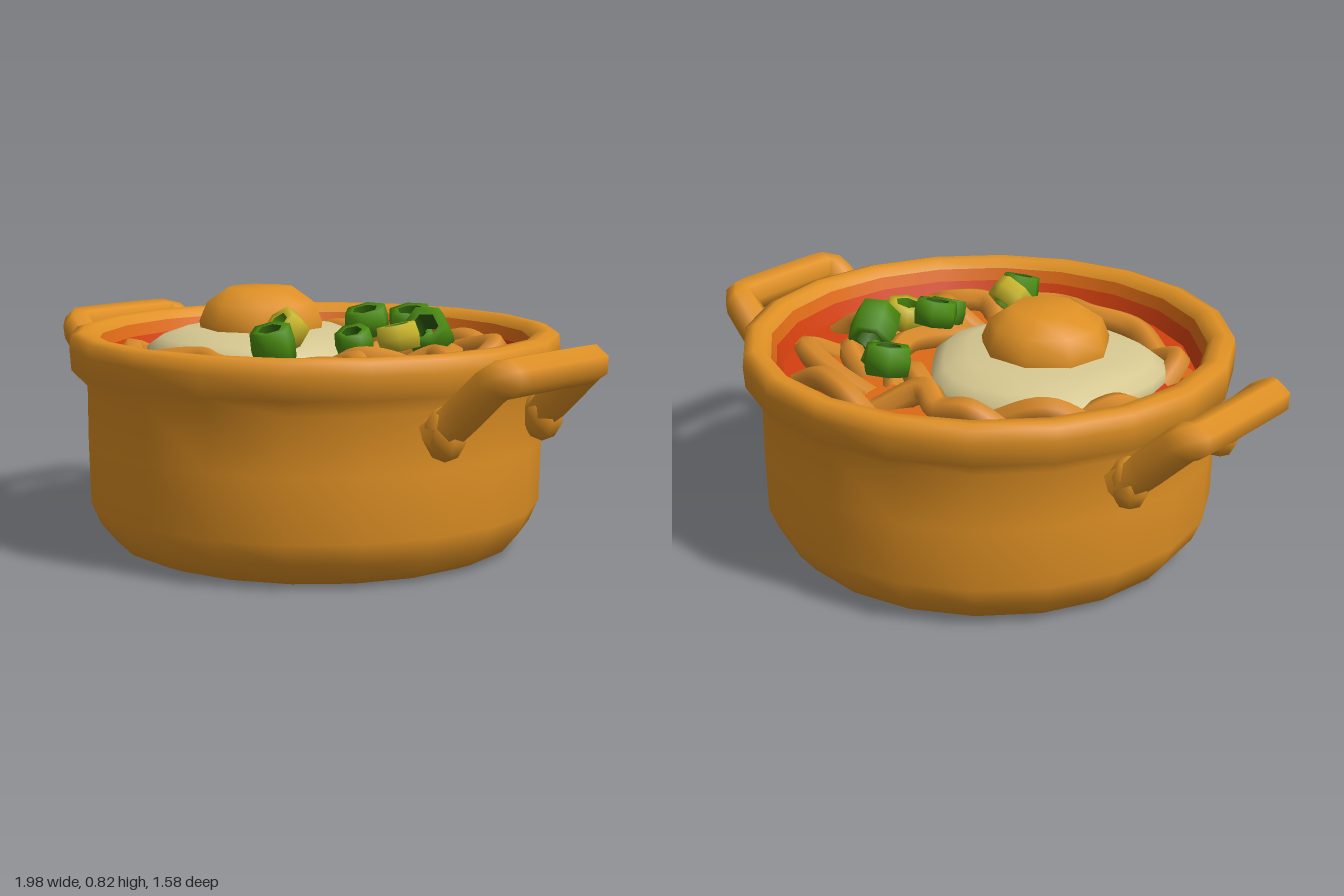
import * as THREE from 'three';

const mat = (name, color, side = THREE.FrontSide) => {
  const m = new THREE.MeshStandardMaterial({ color, side });
  m.name = name;
  return m;
};

export function createModel() {
  const orange = mat('clay orange', 0xdf9024);
  const noodleTan = mat('noodle orange', 0xd98a2a);
  const red = mat('broth red', 0xd2400f);
  const oil = mat('oil orange', 0xdd6a16);
  const cream = mat('egg white', 0xd6c891);
  const green = mat('onion green', 0x4a8a10);
  const darkGreen = mat('onion inside', 0x2f5f0c);
  const yellow = mat('pale onion', 0xc8b42a);

  const model = new THREE.Group();
  model.name = 'noodlePot';
  const add = (name, geometry, material, parent = model) => {
    const mesh = new THREE.Mesh(geometry, material);
    mesh.name = name;
    parent.add(mesh);
    return mesh;
  };
  const lathe = (pts, sides) =>
    new THREE.LatheGeometry(pts.map(([r, y]) => new THREE.Vector2(r, y)), sides);

  // Pot body with a thick rolled rim
  add('potBody', lathe([
    [0, 0], [0.6, 0], [0.65, 0.02], [0.7, 0.08], [0.73, 0.15], [0.735, 0.35], [0.735, 0.53],
    [0.785, 0.58], [0.79, 0.65], [0.785, 0.69], [0.755, 0.7], [0.72, 0.697], [0.7, 0.67],
  ], 20), orange);
  add('innerWall', lathe([[0.7, 0.67], [0.685, 0.63]], 20), oil);
  add('stainedWall', lathe([[0.685, 0.63], [0.66, 0.57]], 20), red);

  // Handles: a bevelled loop rising out from each side, with feet on the wall
  for (const side of [1, -1]) {
    const handle = new THREE.Group();
    handle.name = side > 0 ? 'leftHandle' : 'rightHandle';
    const half = [[0.7, 0.45, 0.245], [0.78, 0.52, 0.235], [0.9, 0.635, 0.225], [0.935, 0.65, 0.19]];
    const path = [...half, ...half.map(([x, y, z]) => [x, y, -z]).reverse()]
      .map(([x, y, z]) => new THREE.Vector3(side * x, y, z));
    const curve = new THREE.CatmullRomCurve3(path, false, 'catmullrom', 0.25);
    add('handleLoop', new THREE.TubeGeometry(curve, 36, 0.06, 7), orange, handle);
    for (const z of [0.24, -0.24]) {
      const foot = add('handleFoot', new THREE.SphereGeometry(1, 7, 5), orange, handle);
      foot.scale.set(0.065, 0.085, 0.065);
      foot.position.set(side * 0.735, 0.47, z);
    }
    model.add(handle);
  }

  // Broth surface with floating oil
  const disc = (name, r, x, y, z, material, sides = 10) => {
    const m = add(name, new THREE.CircleGeometry(r, sides), material);
    m.rotation.x = -Math.PI / 2;
    m.position.set(x, y, z);
  };
  disc('broth', 0.68, 0, 0.58, 0, red, 20);
  disc('oilPool', 0.53, 0, 0.585, -0.02, oil, 14);
  for (const [x, z, r] of [[-0.06, -0.62, 0.05], [0.1, -0.63, 0.04], [-0.22, -0.56, 0.06],
    [-0.42, -0.45, 0.06], [0.57, -0.24, 0.05], [-0.52, 0.32, 0.05]])
    disc('oilSpot', r, x, 0.588, z, oil);

  // Noodles: x, z pairs; each strand bobs out of the broth and dips at both ends
  const strands = [
    [-0.4, -0.38, -0.28, -0.43, -0.17, -0.44, -0.08, -0.4, 0.05, -0.48],
    [0.03, -0.54, 0.14, -0.53, 0.26, -0.5, 0.38, -0.48],
    [0.13, -0.42, 0.28, -0.43, 0.45, -0.37, 0.45, -0.22],
    [0.22, -0.32, 0.36, -0.26, 0.42, -0.12],
    [0.3, -0.02, 0.42, -0.1, 0.5, -0.06, 0.6, -0.07],
    [0.18, 0.12, 0.31, 0.13, 0.42, 0.05, 0.54, 0.1],
    [0.2, 0.21, 0.34, 0.2, 0.44, 0.25, 0.56, 0.2],
    [0.18, 0.29, 0.3, 0.36, 0.42, 0.3, 0.54, 0.34],
    [-0.38, 0.42, -0.22, 0.5, -0.05, 0.46, 0.08, 0.5, 0.2, 0.45, 0.4, 0.44],
    [-0.52, 0.22, -0.5, 0.34, -0.36, 0.42],
    [-0.6, 0.02, -0.58, -0.1, -0.48, -0.2],
    [-0.58, -0.18, -0.46, -0.28, -0.28, -0.36],
    [0.1, -0.34, 0.22, -0.18, 0.22, 0.05, 0.14, 0.22],
    [-0.1, -0.36, 0.05, -0.3, 0.15, -0.2],
    [0, 0.42, 0.12, 0.38, 0.27, 0.42],
  ];
  strands.forEach((s, k) => {
    const n = s.length / 2;
    const pts = Array.from({ length: n }, (_, i) => new THREE.Vector3(
      s[2 * i],
      i === 0 || i === n - 1 ? 0.56 : 0.625 + 0.015 * Math.sin(i * 2.6 + k),
      s[2 * i + 1]));
    add('noodle', new THREE.TubeGeometry(new THREE.CatmullRomCurve3(pts), n * 5, 0.042, 6), noodleTan);
  });

  // Fried egg: wavy white and domed yolk
  const white = lathe([[0.37, 0.59], [0.37, 0.625], [0.33, 0.655], [0.25, 0.685], [0, 0.7]], 24);
  const p = white.attributes.position;
  for (let i = 0; i < p.count; i++) {
    const a = Math.atan2(p.getZ(i), p.getX(i));
    const k = 1 + 0.035 * Math.sin(3 * a + 0.6) + 0.025 * Math.cos(5 * a);
    p.setX(i, p.getX(i) * k);
    p.setZ(i, p.getZ(i) * k);
  }
  add('eggWhite', white, cream).position.set(-0.205, 0, 0.02);
  const yolk = add('eggYolk', lathe(
    [[0.2, 0.67], [0.205, 0.71], [0.18, 0.77], [0.11, 0.818], [0, 0.82]], 9), orange);
  yolk.position.set(-0.21, 0, 0.03);

  // Spring onion rings: x, y, z, radius, height, tilt x, tilt z, skin colour
  const onions = [
    [0.09, 0.69, -0.38, 0.08, 0.09, 0.3, -0.1, green],
    [0.32, 0.69, -0.19, 0.08, 0.12, 0.9, 0.4, green],
    [0.18, 0.73, -0.05, 0.075, 0.08, 0.1, 0.15, green],
    [0.32, 0.69, -0.04, 0.075, 0.08, 0.15, -0.2, yellow],
    [0.25, 0.68, 0.09, 0.06, 0.08, 0.3, 0.1, green],
    [0.11, 0.72, 0.25, 0.07, 0.08, 0.5, 0.4, yellow],
    [0.17, 0.69, 0.37, 0.07, 0.11, 0.8, -0.5, green],
    [0.21, 0.65, -0.3, 0.045, 0.07, 0.6, 0.3, green],
  ];
  for (const [x, y, z, r, h, tx, tz, skin] of onions) {
    const onion = new THREE.Group();
    onion.name = 'springOnion';
    const i = r * 0.55, b = h / 2;
    add('onionSkin', lathe([[i, -b], [r * 0.92, -b], [r, 0], [r * 0.92, b], [i, b]], 6), skin, onion);
    add('onionHollow', lathe([[i, b], [i * 0.9, 0], [i, -b]], 6), skin === green ? darkGreen : green, onion);
    onion.position.set(x, y, z);
    onion.rotation.set(tx, x * 9, tz);
    model.add(onion);
  }

  return model;
}
